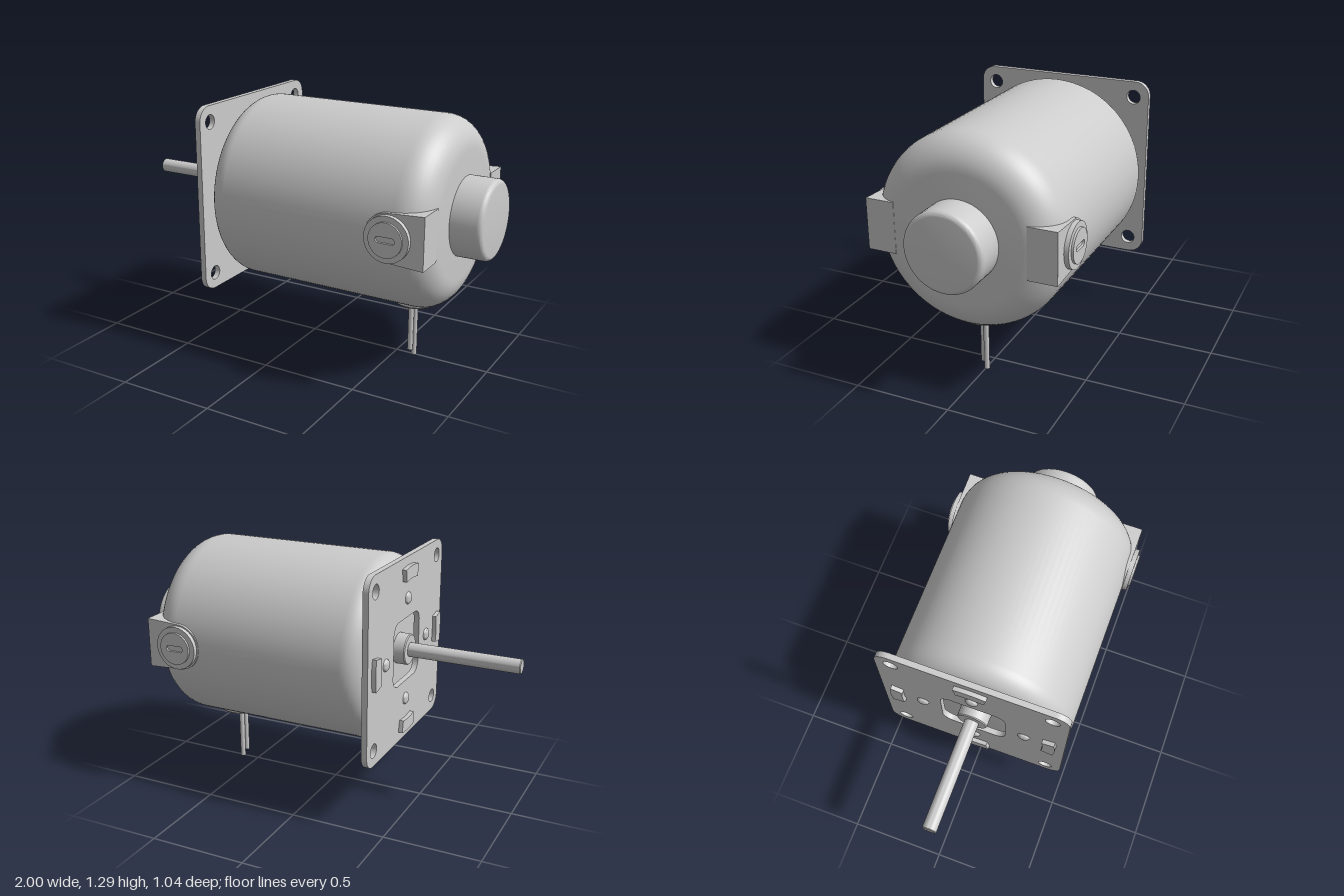
import * as THREE from 'three';
import { toCreasedNormals } from 'three/addons/utils/BufferGeometryUtils.js';

const AXIS_Y = 0.803;
const material = new THREE.MeshStandardMaterial({ color: 0xcccccc });

function add(parent, name, geometry, x = 0, y = 0, z = 0) {
  const mesh = new THREE.Mesh(geometry, material);
  mesh.name = name;
  mesh.position.set(x, y, z);
  parent.add(mesh);
  return mesh;
}

// Smooth lathe with sharp corners kept; points are [radius, height]
function lathe(points, segments = 64) {
  const profile = points.map(([r, h]) => new THREE.Vector2(r, h));
  return toCreasedNormals(new THREE.LatheGeometry(profile, segments), 0.5);
}

// Lathe turned so that its height runs along +x
const latheX = (points, segments) => lathe(points, segments).rotateZ(-Math.PI / 2);

// Quarter-circle profile points
function fillet(cr, ch, radius, from, steps = 10) {
  return Array.from({ length: steps + 1 }, (_, i) => {
    const a = from + (i / steps) * Math.PI / 2;
    return [cr + radius * Math.cos(a), ch + radius * Math.sin(a)];
  });
}

function extrude(shape, depth) {
  const g = new THREE.ExtrudeGeometry(shape, { depth, bevelEnabled: false, curveSegments: 20 });
  return toCreasedNormals(g, 0.5);
}

// Extrusion whose depth runs along +x
const extrudeX = (shape, depth) => extrude(shape, depth).rotateY(Math.PI / 2);

function roundedSquare(target, h, r) {
  const c = h - r;
  target.absarc(c, c, r, 0, Math.PI / 2);
  target.absarc(-c, c, r, Math.PI / 2, Math.PI);
  target.absarc(-c, -c, r, Math.PI, Math.PI * 1.5);
  target.absarc(c, -c, r, Math.PI * 1.5, Math.PI * 2);
  target.closePath();
  return target;
}

export function createModel() {
  const model = new THREE.Group();
  model.name = 'electricMotor';
  const axial = new THREE.Group();
  axial.name = 'axialParts';
  axial.position.y = AXIS_Y;
  model.add(axial);

  // Motor can with rounded ends
  add(axial, 'body', latheX([
    [0, -0.357],
    ...fillet(0.373, -0.247, 0.11, -Math.PI / 2),
    ...fillet(0.323, 0.68, 0.16, 0),
    [0, 0.84],
  ], 96));

  // Rear bearing cap
  add(axial, 'rearCap', latheX([
    [0.201, 0.8], ...fillet(0.176, 0.975, 0.025, 0, 6), [0, 1],
  ]));

  // Mounting plate with corner holes and a central opening
  const plate = roundedSquare(new THREE.Shape(), 0.485, 0.075);
  for (const sy of [-1, 1]) for (const sz of [-1, 1]) {
    plate.holes.push(new THREE.Path().absarc(sz * 0.402, sy * 0.402, 0.037, 0, Math.PI * 2));
  }
  plate.holes.push(roundedSquare(new THREE.Path(), 0.17, 0.06));
  add(axial, 'mountingPlate', extrudeX(plate, 0.03), -0.4);

  // Output shaft and its bearing collar
  add(axial, 'shaft', latheX([[0, -1], [0.033, -1], [0.037, -0.996], [0.037, -0.35]], 32));
  add(axial, 'bearingCollar', latheX([[0, -0.42], [0.075, -0.42], [0.08, -0.415], [0.08, -0.35]], 40));

  // Four screws with spacers, and four curved tabs
  const tab = new THREE.Shape();
  tab.absarc(0, 0, 0.44, Math.PI / 2 - 0.19, Math.PI / 2 + 0.19);
  tab.absarc(0, 0, 0.375, Math.PI / 2 + 0.19, Math.PI / 2 - 0.19, true);
  tab.closePath();
  for (let i = 0; i < 4; i++) {
    const set = new THREE.Group();
    set.name = 'plateFixing';
    set.rotation.x = i * Math.PI / 2;
    axial.add(set);
    add(set, 'screwHead', latheX([
      [0, -0.417], [0.018, -0.415], [0.028, -0.409], [0.034, -0.398],
    ], 24), 0, 0.27);
    add(set, 'spacer', latheX([[0.055, -0.372], [0.055, -0.35]], 32), 0, 0.27);
    add(set, 'tab', extrudeX(tab, 0.024), -0.422);
  }

  // Brush holders on both sides, each with a slotted cap
  const bracket = new THREE.Shape();
  bracket.moveTo(0.84, -0.13);
  bracket.lineTo(0.84, 0.13);
  bracket.lineTo(0.66, 0.12);
  bracket.absarc(0.66, 0, 0.12, Math.PI / 2, Math.PI * 1.5);
  bracket.closePath();
  const washer = new THREE.Shape().absarc(0, 0, 0.113, 0, Math.PI * 2);
  const cap = new THREE.Shape().absarc(0, 0, 0.085, 0, Math.PI * 2);
  const slot = new THREE.Path();
  slot.absarc(0.034, 0, 0.015, -Math.PI / 2, Math.PI / 2);
  slot.absarc(-0.034, 0, 0.015, Math.PI / 2, Math.PI * 1.5);
  slot.closePath();
  cap.holes.push(slot);
  for (const side of [1, -1]) {
    const holder = new THREE.Group();
    holder.name = side > 0 ? 'frontBrushHolder' : 'backBrushHolder';
    axial.add(holder);
    const layer = (name, shape, x, inner, outer) =>
      add(holder, name, extrude(shape, outer - inner), x, 0, side > 0 ? inner : -outer);
    layer('bracket', bracket, 0, 0.337, 0.485);
    layer('brushWasher', washer, 0.662, 0.47, 0.508);
    layer('brushCap', cap, 0.662, 0.508, 0.519);
  }

  // Cable grommet and two wires underneath
  add(model, 'grommet', lathe([
    [0, 0.295], [0.085, 0.295], [0.1, 0.299], [0.11, 0.308], [0.112, 0.32], [0.112, 0.36],
  ], 48), 0.6);
  const wires = [[0.597, -0.003, 0], [0.584, 0.02, 0.033]];
  for (const [x, z, bottom] of wires) {
    const length = 0.33 - bottom;
    add(model, 'wire', new THREE.CylinderGeometry(0.014, 0.014, length, 20), x, bottom + length / 2, z);
  }

  return model;
}
